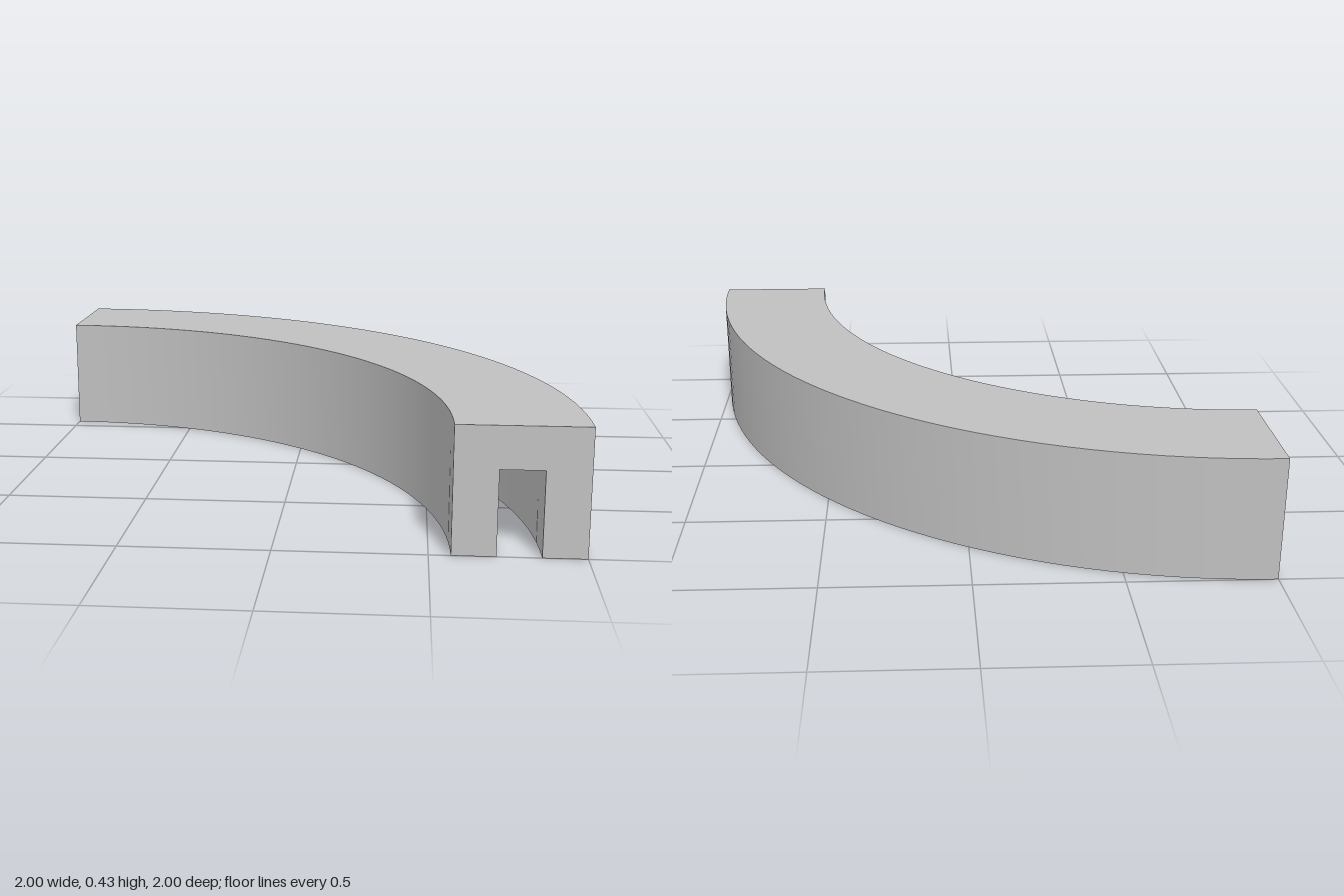
import * as THREE from 'three';
import { toCreasedNormals } from 'three/addons/utils/BufferGeometryUtils.js';

export function createModel() {
  const group = new THREE.Group();
  group.name = 'curvedChannel';
  const grey = new THREE.MeshStandardMaterial({ color: 0xc0c0c0 });
  grey.name = 'grey';

  // Cross-section as (radius, height), with a groove open at the bottom
  const inner = 1.571, outer = 2, height = 0.428;
  const grooveInner = 1.714, grooveOuter = 1.857, grooveTop = 0.286;
  const profile = [
    [grooveOuter, 0], [outer, 0], [outer, height], [inner, height],
    [inner, 0], [grooveInner, 0], [grooveInner, grooveTop], [grooveOuter, grooveTop],
  ].map(([r, y]) => new THREE.Vector2(r, y));

  function add(name, geometry) {
    const mesh = new THREE.Mesh(geometry, grey);
    mesh.name = name;
    mesh.position.set(-1, 0, 1); // centre of the bend
    group.add(mesh);
    return mesh;
  }

  // Quarter-turn body
  const bend = new THREE.LatheGeometry([...profile, profile[0].clone()], 40, Math.PI / 2, Math.PI / 2);
  add('curvedBody', toCreasedNormals(bend, Math.PI / 6));

  // Flat ends
  add('frontEnd', new THREE.ShapeGeometry(new THREE.Shape(profile)));
  const mirrored = profile.map((p) => new THREE.Vector2(-p.x, p.y));
  add('sideEnd', new THREE.ShapeGeometry(new THREE.Shape(mirrored))).rotation.y = -Math.PI / 2;

  return group;
}
